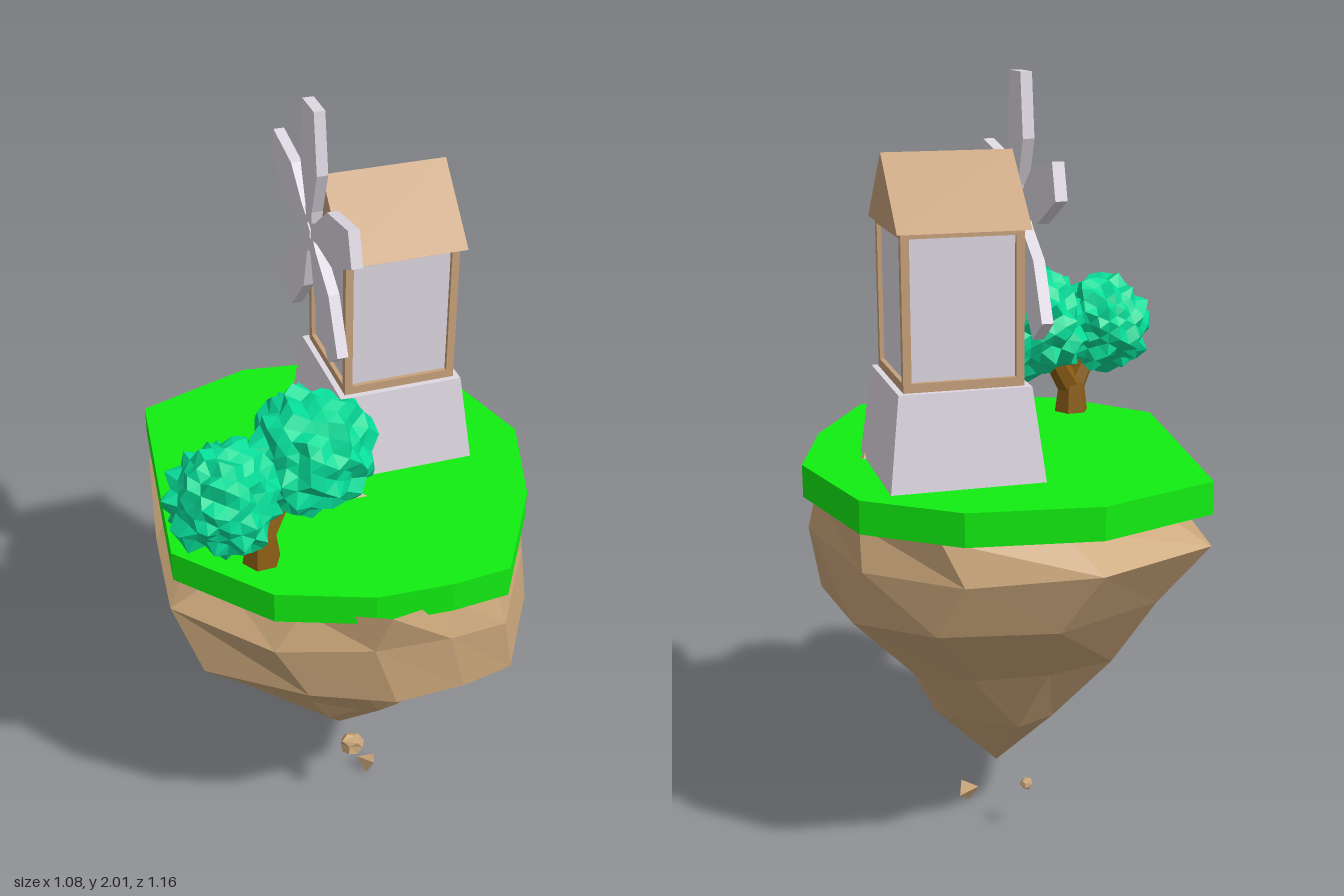
import * as THREE from 'three';

const paint = (color) => new THREE.MeshStandardMaterial({ color, flatShading: true });
const GRASS = paint(0x12ee12), EARTH = paint(0xcaa67a), WOOD = paint(0xc8a27c);
const STONE = paint(0xded8e2), LEAF = paint(0x06dc98), BARK = paint(0x8a5d14);

function add(parent, name, geometry, material, x = 0, y = 0, z = 0) {
  const mesh = new THREE.Mesh(geometry, material);
  mesh.name = name;
  mesh.position.set(x, y, z);
  parent.add(mesh);
  return mesh;
}

// Repeatable value in 0..1 for a point, so shared corners move together
function hash(x, y, z) {
  const s = Math.sin(Math.round(x * 500) * 12.99 + Math.round(y * 500) * 78.23 + Math.round(z * 500) * 37.72) * 43758.55;
  return s - Math.floor(s);
}

// Polyhedron with each corner pushed out; a higher power gives rarer, sharper spikes
function rough(geometry, radius, low, high, power = 1) {
  const p = geometry.attributes.position, v = new THREE.Vector3();
  for (let i = 0; i < p.count; i++) {
    v.fromBufferAttribute(p, i).normalize();
    v.multiplyScalar(radius * (low + (high - low) * hash(v.x, v.y, v.z) ** power));
    p.setXYZ(i, v.x, v.y, v.z);
  }
  geometry.computeVertexNormals();
  return geometry;
}

// Island plan as [x, z]
const OUTLINE = [[-0.01, -0.575], [0.25, -0.535], [0.47, -0.295], [0.52, -0.015], [0.5, 0.295], [0.375, 0.375],
  [0.2, 0.455], [-0.04, 0.485], [-0.315, 0.375], [-0.415, 0.11], [-0.54, -0.225], [-0.315, -0.465]];
// Bulges and hollows of the rock's flank, per plan corner
const BULGE = [0, -0.02, -0.05, 0, 0, 0, 0, 0, 0.065, 0.08, 0, 0];

// Rock body: the plan fitted to each level's extents and closed to a tip
function rockGeometry() {
  const levels = [ // y, xMin, xMax, zMin, zMax, unevenness, share of bulge
    [0.98, -0.41, 0.51, -0.565, 0.475, 0, 0],
    [0.88, -0.54, 0.52, -0.575, 0.49, 0.02, 0.2],
    [0.72, -0.41, 0.54, -0.55, 0.465, 0.03, 1],
    [0.53, -0.29, 0.35, -0.34, 0.28, 0.04, 0.8],
    [0.35, -0.13, 0.22, -0.23, 0.15, 0.04, 0.3],
    [0.15, 0.04, 0.04, -0.02, -0.02, 0, 0]];
  const rings = levels.map(([y, x0, x1, z0, z1, n, share], k) => OUTLINE.map(([x, z], i) => {
    // the top rim is drawn in between every third corner
    const scale = k === 0 && i % 3 ? 0.95 : 1 + share * BULGE[i] / Math.hypot(x, z) * 1.06 / (x1 - x0 || 1);
    return [
      (x0 + (x1 - x0) * (x + 0.54) / 1.06) * scale,
      y + n * (hash(i, k, 3) - 0.5),
      (z0 + (z1 - z0) * (z + 0.575) / 1.06) * scale];
  }));
  rings[0][6] = [0.24, 1.005, 0.468]; // small peak over the front edge
  const out = [], n = OUTLINE.length;
  for (let k = 0; k + 1 < rings.length; k++) {
    for (let i = 0; i < n; i++) {
      const j = (i + 1) % n, up = rings[k], low = rings[k + 1];
      out.push(...low[i], ...up[i], ...up[j]);
      if (k + 2 < rings.length) out.push(...low[i], ...up[j], ...low[j]);
    }
  }
  const g = new THREE.BufferGeometry();
  g.setAttribute('position', new THREE.Float32BufferAttribute(out, 3));
  g.computeVertexNormals();
  return g;
}

function extrude(points, depth) {
  const shape = new THREE.Shape(points.map(([x, y]) => new THREE.Vector2(x, y)));
  return new THREE.ExtrudeGeometry(shape, { depth, bevelEnabled: false });
}

// Tapered limb between two points
function limb(parent, name, a, b, r0, r1) {
  const from = new THREE.Vector3(...a), to = new THREE.Vector3(...b), dir = to.clone().sub(from);
  const mesh = add(parent, name, new THREE.CylinderGeometry(r1, r0, dir.length(), 6), BARK);
  mesh.position.copy(from).add(to).multiplyScalar(0.5);
  mesh.quaternion.setFromUnitVectors(new THREE.Vector3(0, 1, 0), dir.normalize());
}

function createWindmill() {
  const mill = new THREE.Group();
  mill.name = 'windmill';

  // Tapered stone base and wooden ledge
  const base = new THREE.CylinderGeometry(0.161 * Math.SQRT2, 0.19 * Math.SQRT2, 0.235, 4);
  base.rotateY(Math.PI / 4);
  add(mill, 'towerBase', base, STONE, 0, 1.168, 0);
  add(mill, 'bottomFrame', new THREE.BoxGeometry(0.292, 0.025, 0.292), WOOD, 0, 1.295, 0);
  add(mill, 'topFrame', new THREE.BoxGeometry(0.292, 0.02, 0.292), WOOD, 0, 1.652, 0);

  // Walls set back between corner posts
  add(mill, 'walls', new THREE.BoxGeometry(0.27, 0.36, 0.27), STONE, 0, 1.475, 0);
  for (const x of [-1, 1]) for (const z of [-1, 1])
    add(mill, 'cornerPost', new THREE.BoxGeometry(0.02, 0.36, 0.02), WOOD, x * 0.136, 1.475, z * 0.136);

  // Solid overhanging gable roof
  add(mill, 'roof', extrude([[-0.168, 1.655], [0.168, 1.655], [0, 1.822]], 0.316), WOOD, 0, 0, -0.158);

  // Five sails around a small hub
  const sails = new THREE.Group();
  sails.name = 'sails';
  sails.position.set(0, 1.68, 0.178);
  mill.add(sails);
  const hub = new THREE.CylinderGeometry(0.022, 0.022, 0.06, 6).rotateX(Math.PI / 2);
  add(sails, 'hub', hub, STONE, 0, 0, -0.012);
  for (let i = 0; i < 5; i++) {
    const sail = add(sails, 'sail', extrude([[-0.018, 0], [0.018, 0], [0.025, 0.06], [0.066, 0.17],
      [0.044, 0.32], [-0.044, 0.32], [-0.066, 0.17], [-0.025, 0.06]], 0.028), STONE, 0, 0, -0.014);
    sail.rotation.z = i * Math.PI * 2 / 5;
  }

  mill.position.set(0.106, 0, -0.232);
  mill.rotation.y = -1.089;
  return mill;
}

function createTree() {
  const tree = new THREE.Group();
  tree.name = 'tree';
  limb(tree, 'trunk', [-0.095, 1.04, 0.36], [-0.095, 1.14, 0.36], 0.05, 0.036);
  limb(tree, 'leftBranch', [-0.093, 1.12, 0.358], [-0.04, 1.24, 0.3], 0.034, 0.026);
  limb(tree, 'rightBranch', [-0.097, 1.12, 0.362], [-0.14, 1.23, 0.41], 0.034, 0.026);
  const crown = (r) => rough(new THREE.IcosahedronGeometry(1, 4), r, 0.84, 1.1, 1.7);
  add(tree, 'largeCrown', crown(0.155), LEAF, 0.003, 1.315, 0.255);
  add(tree, 'smallCrown', crown(0.138), LEAF, -0.163, 1.287, 0.437).rotation.y = 1;
  return tree;
}

export function createModel() {
  const model = new THREE.Group();
  model.name = 'floatingIsland';

  // Island
  add(model, 'grass', extrude(OUTLINE, 0.083).rotateX(Math.PI / 2), GRASS, 0, 1.055, 0);
  add(model, 'rockBody', rockGeometry(), EARTH);
  model.add(createWindmill(), createTree());

  // Boulders on the ground: x, y, z, then size along each axis
  for (const [x, y, z, sx, sy, sz] of [[0.04, 1.05, 0.068, 0.1, 0.048, 0.05], [0.335, 1.05, -0.2, 0.02, 0.02, 0.025]]) {
    add(model, 'boulder', rough(new THREE.OctahedronGeometry(1, 0), 1, 0.9, 1.1), EARTH, x, y, z).scale.set(sx, sy, sz);
  }

  // Loose stones below the tip
  for (const [x, y, z, r] of [[0.1, 0.25, 0.155, 0.038], [-0.065, 0.14, -0.12, 0.019]]) {
    add(model, 'fallingStone', rough(new THREE.DodecahedronGeometry(1, 0), r, 0.7, 1.05), EARTH, x, y, z);
  }
  const shard = add(model, 'fallingShard', new THREE.TetrahedronGeometry(0.036), EARTH, 0.13, 0.027, 0.01);
  shard.rotation.set(0.4, 0.5, 0.3);
  return model;
}
